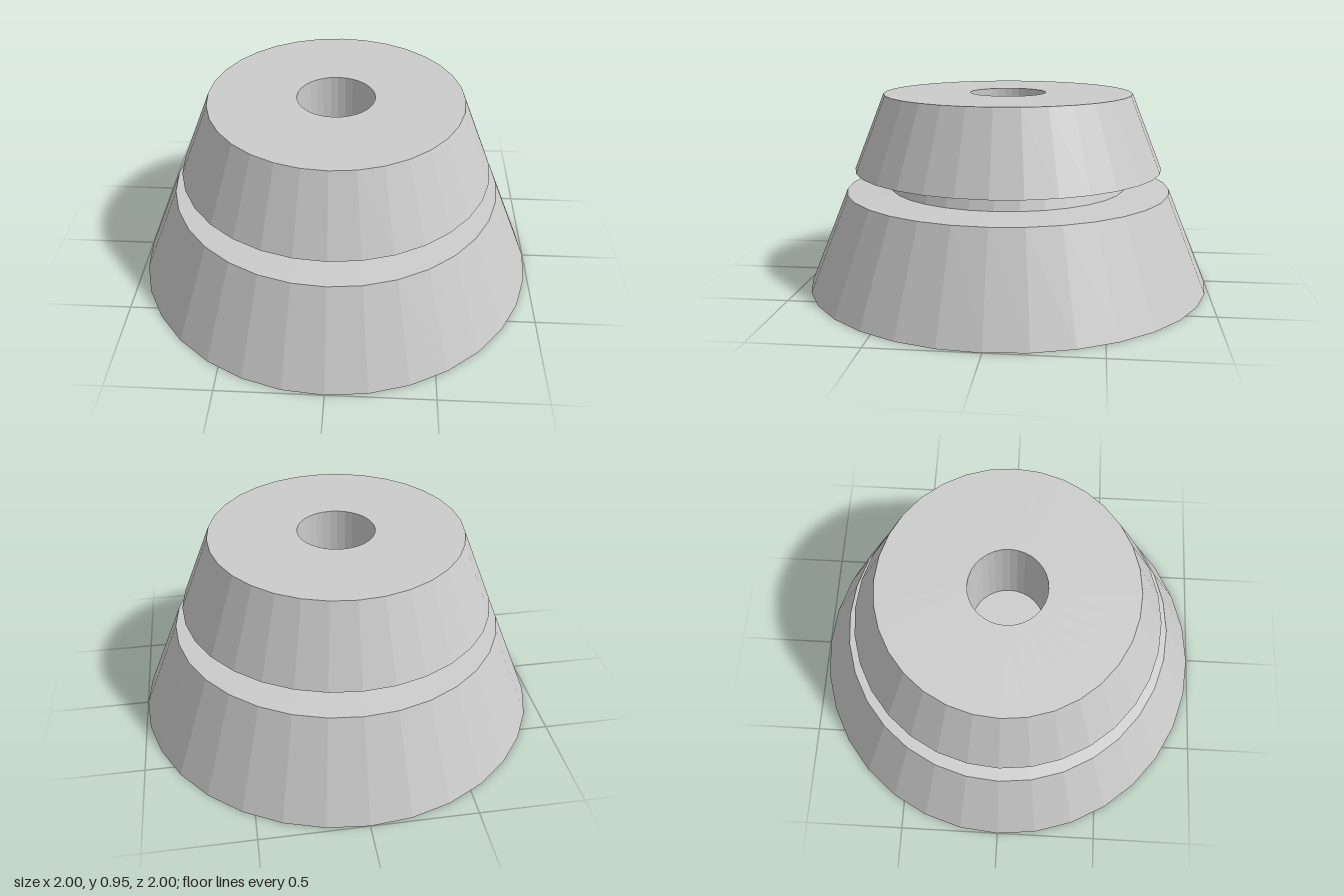
import * as THREE from 'three';

const SIDES = 32;

export function createModel() {
  const group = new THREE.Group();
  const material = new THREE.MeshStandardMaterial({ color: 0xcccccc, flatShading: true });

  function addTurned(name, profile) {
    const points = profile.map(([r, y]) => new THREE.Vector2(r, y));
    const mesh = new THREE.Mesh(new THREE.LatheGeometry(points, SIDES), material);
    mesh.name = name;
    group.add(mesh);
  }

  // Wide tapered base: closed underside, flank and slightly raised ledge
  addTurned('base', [[0, 0], [1, 0], [0.806, 0.474], [0.588, 0.486]]);

  // Narrow neck at the bottom of the groove
  addTurned('neck', [[0.588, 0.486], [0.56, 0.568]]);

  // Tapered upper body: sloping underside, flank and flat rim
  addTurned('upperBody', [[0.56, 0.568], [0.763, 0.579], [0.614, 0.95], [0.187, 0.95]]);

  // Blind hole in the centre of the top
  addTurned('centreHole', [[0.187, 0.95], [0.187, 0.45], [0, 0.45]]);

  return group;
}
